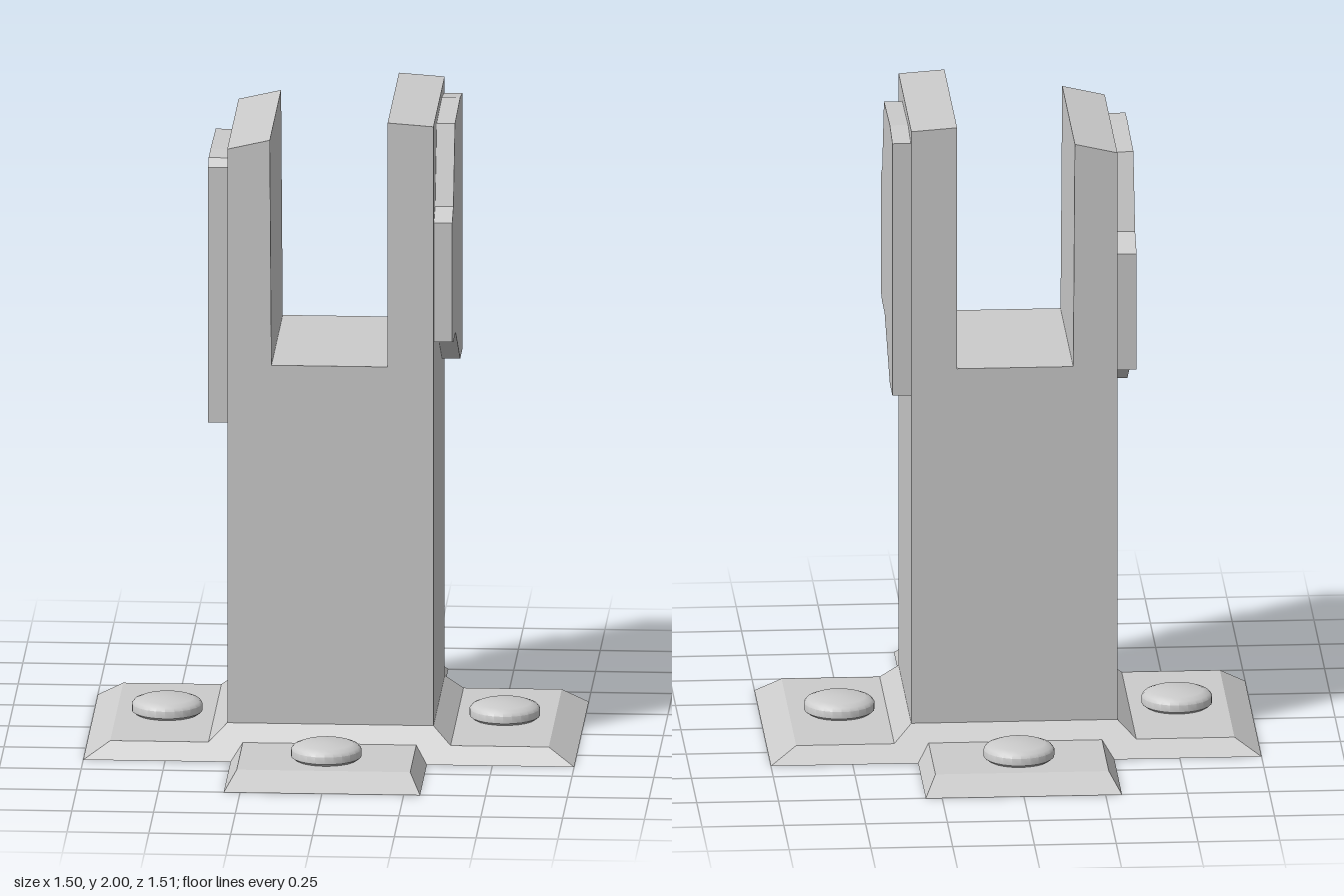
import * as THREE from 'three';
import { toCreasedNormals } from 'three/addons/utils/BufferGeometryUtils.js';

const material = new THREE.MeshStandardMaterial({ color: 0xcccccc, flatShading: true, side: THREE.DoubleSide });
const smooth = new THREE.MeshStandardMaterial({ color: 0xcccccc, side: THREE.DoubleSide });

function addMesh(group, name, geometry, mat = material) {
  const mesh = new THREE.Mesh(geometry, mat);
  mesh.name = name;
  group.add(mesh);
  return mesh;
}

function extrude(points, depth) {
  const shape = new THREE.Shape(points.map(([x, y]) => new THREE.Vector2(x, y)));
  return new THREE.ExtrudeGeometry(shape, { depth, bevelEnabled: false });
}

// Drops the triangles lying flat at height y, leaving the shell open there
function openAt(geometry, y) {
  const src = geometry.index ? geometry.toNonIndexed() : geometry;
  const p = src.attributes.position.array;
  const kept = [];
  for (let i = 0; i < p.length; i += 9) {
    if ([1, 4, 7].some((k) => Math.abs(p[i + k] - y) > 1e-4)) kept.push(...p.slice(i, i + 9));
  }
  const out = new THREE.BufferGeometry();
  out.setAttribute('position', new THREE.Float32BufferAttribute(kept, 3));
  out.computeVertexNormals();
  return out;
}

// Builds flat faces for one quarter and mirrors them into all four
function mirroredFaces(faces) {
  const pos = [];
  for (const sx of [1, -1]) for (const sz of [1, -1]) {
    for (const face of faces) {
      const corners = face.map(([x, y, z]) => [x * sx, y, z * sz]);
      if (sx * sz < 0) corners.reverse();
      for (let i = 1; i < corners.length - 1; i++) pos.push(...corners[0], ...corners[i], ...corners[i + 1]);
    }
  }
  const g = new THREE.BufferGeometry();
  g.setAttribute('position', new THREE.Float32BufferAttribute(pos, 3));
  g.computeVertexNormals();
  return g;
}

export function createModel() {
  const model = new THREE.Group();
  model.name = 'slottedPost';

  // Hollow column with a slot between two uneven prongs
  const column = extrude([
    [-0.315, 0.1], [0.315, 0.1], [0.315, 1.99], [0.175, 2], [0.175, 1.23],
    [-0.18, 1.23], [-0.185, 1.94], [-0.315, 1.91],
  ], 0.6);
  column.translate(0, 0, -0.3);
  addMesh(model, 'column', openAt(column, 0.1));

  // Chipped plates on the outer sides of the prongs
  const leftPlate = extrude([
    [0.275, 1.68], [0.21, 1.715], [0.127, 1.955], [-0.15, 1.965], [-0.275, 1.945],
    [-0.275, 1.14], [-0.15, 1.14], [0.095, 1.29], [0.217, 1.29], [0.275, 1.305],
  ], 0.056);
  leftPlate.rotateY(-Math.PI / 2).translate(0.371, 0, 0);
  addMesh(model, 'leftPlate', leftPlate);

  const rightPlate = extrude([
    [0.28, 1.58], [0.21, 1.63], [0.13, 1.86], [-0.15, 1.87], [-0.245, 1.868], [-0.275, 1.845],
    [-0.275, 1.04], [-0.15, 1.05], [0.1, 1.21], [0.21, 1.2], [0.28, 1.21],
  ], 0.06);
  rightPlate.rotateY(Math.PI / 2).translate(-0.375, 0, 0);
  addMesh(model, 'rightPlate', rightPlate);

  // Sloping collar between the column and the flaps
  const T = 0.05, H = 0.1;
  addMesh(model, 'collar', mirroredFaces([
    [[0.315, H, 0], [0.315, H, 0.3], [0.37, T, 0.345], [0.37, T, 0]],
    [[0, H, 0.3], [0, T, 0.345], [0.37, T, 0.345], [0.315, H, 0.3]],
  ]));

  // Side flaps: top, outer bevel and long bevel
  addMesh(model, 'sideFlaps', mirroredFaces([
    [[0.37, T, 0], [0.37, T, 0.345], [0.67, T, 0.345], [0.67, T, 0]],
    [[0.67, T, 0], [0.67, T, 0.345], [0.75, 0, 0.39], [0.75, 0, 0]],
    [[0.265, T, 0.345], [0.3, 0, 0.39], [0.75, 0, 0.39], [0.67, T, 0.345]],
  ]));

  // Front and back flaps
  addMesh(model, 'frontAndBackFlaps', mirroredFaces([
    [[0, T, 0.345], [0, T, 0.668], [0.265, T, 0.668], [0.265, T, 0.345]],
    [[0, T, 0.668], [0, 0, 0.753], [0.3, 0, 0.753], [0.265, T, 0.668]],
    [[0.265, T, 0.345], [0.265, T, 0.668], [0.3, 0, 0.753], [0.3, 0, 0.39]],
  ]));

  // One bolt head per flap
  const profile = [[0, 0.05], [0.098, 0.05], [0.108, 0.058], [0.108, 0.08], [0.1, 0.09], [0.08, 0.098], [0, 0.1]];
  const bolt = toCreasedNormals(
    new THREE.LatheGeometry(profile.map(([r, y]) => new THREE.Vector2(r, y)), 24), 0.7);
  for (let i = 0; i < 4; i++) {
    const a = (i * Math.PI) / 2;
    addMesh(model, 'bolt', bolt, smooth).position.set(0.516 * Math.cos(a), 0, 0.516 * Math.sin(a));
  }
  return model;
}
